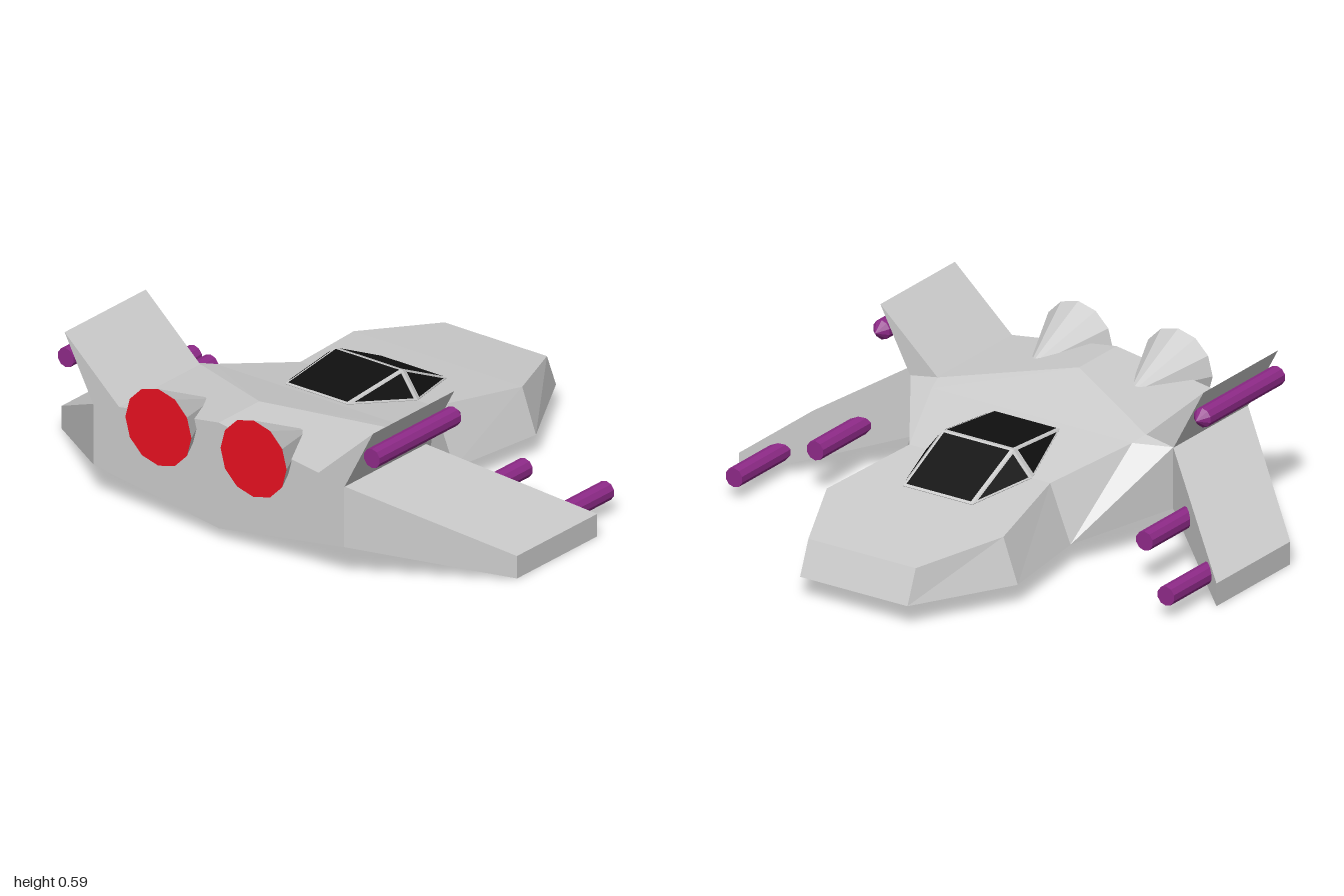
import * as THREE from 'three';
import { ConvexGeometry } from 'three/addons/geometries/ConvexGeometry.js';

const OFFSET = -0.008; // the hull sits slightly off the wing span's centre
const paint = (color, side = THREE.FrontSide) =>
  new THREE.MeshStandardMaterial({ color, side, flatShading: true });
const grey = paint(0xcccccc);
const purple = paint(0x8e2a88);
const red = paint(0xe81020);
const black = paint(0x101010, THREE.DoubleSide);

function add(parent, name, geometry, material) {
  const mesh = new THREE.Mesh(geometry, material);
  mesh.name = name;
  parent.add(mesh);
  return mesh;
}

// Flat-shaded geometry from convex polygons, each a list of [x, y, z] corners
function fromPolygons(polygons) {
  const out = [];
  for (const p of polygons)
    for (let i = 1; i < p.length - 1; i++) out.push(...p[0], ...p[i], ...p[i + 1]);
  const g = new THREE.BufferGeometry();
  g.setAttribute('position', new THREE.Float32BufferAttribute(out, 3));
  g.computeVertexNormals();
  return g;
}

// Hull: one half described by its edge lines, then mirrored
function hullGeometry() {
  const T = [[0.225, 0.205, -0.78], [0.37, 0.245, -0.46], [0.295, 0.29, -0.07],
    [0.42, 0.36, 0.245], [0.435, 0.375, 0.305], [0.435, 0.375, 0.755]]; // deck edge
  const B = [[0.225, 0.08, -0.83], [0.43, 0.08, -0.46], [0.38, 0.08, -0.07],
    [0.55, 0.125, 0.305], [0.55, 0.125, 0.755]]; // lower edge
  const S = [[0.55, 0.355, 0.305], [0.55, 0.355, 0.755]]; // wing shoulder
  const C = [[0, 0.205, -0.78], [0, 0.245, -0.46], [0, 0.29, -0.07],
    [0, 0.36, 0.245], [0, 0.44, 0.53], [0, 0.44, 0.755]]; // top centre line
  const D = [[0, 0.08, -0.83], [0, 0.08, -0.46], [0, 0.08, -0.07],
    [0, 0.04, 0.305], [0, 0.04, 0.755]]; // keel
  const half = [
    [C[3], C[4], T[3]], [C[4], T[4], T[3]], [C[4], C[5], T[5], T[4]],
    [T[4], T[5], S[1], S[0]], [T[3], T[4], S[0]],
    [T[0], T[1], B[1], B[0]], [T[1], T[2], B[2], B[1]],
    [T[2], T[3], S[0], B[3], B[2]], [S[0], S[1], B[4], B[3]],
    [C[0], T[0], B[0], D[0]], [D[4], B[4], S[1], T[5], C[5]],
  ];
  for (let i = 0; i < 3; i++) half.push([C[i], C[i + 1], T[i + 1], T[i]]);
  for (let i = 0; i < 4; i++) half.push([D[i], B[i], B[i + 1], D[i + 1]]);
  const mirrored = half.map(p => p.map(([x, y, z]) => [-x, y, z]).reverse());
  return fromPolygons([...half, ...mirrored]);
}

// Wing: a box whose outer end is swept, lowered and thinned
function wingGeometry(s) {
  const g = new THREE.BoxGeometry(1, 1, 1).toNonIndexed();
  const p = g.attributes.position;
  for (let i = 0; i < p.count; i++) {
    const tip = p.getX(i) * s > 0, top = p.getY(i) > 0, aft = p.getZ(i) > 0;
    if (tip) p.setXYZ(i, s, top ? 0.085 : 0, aft ? 0.375 : -0.07);
    else p.setXYZ(i, s * 0.55 + OFFSET, top ? 0.355 : 0.125, aft ? 0.755 : 0.305);
  }
  g.computeVertexNormals();
  return g;
}

// Fin: triangular section drawn out along z
function finGeometry(s) {
  const shape = new THREE.Shape([[0.435, 0.372], [0.55, 0.35], [0.677, 0.59]]
    .map(([x, y]) => new THREE.Vector2(s * x, y)));
  return new THREE.ExtrudeGeometry(shape, { depth: 0.45, bevelEnabled: false })
    .translate(0, 0, 0.305);
}

// Gun barrel along z
function barrel(parent, name, x, y, z0, z1) {
  const g = new THREE.CylinderGeometry(0.036, 0.036, z1 - z0, 10).rotateX(Math.PI / 2);
  add(parent, name, g, purple).position.set(x, y, (z0 + z1) / 2);
}

// Canopy: grey frame solid with dark panes set just above its faces
function addCanopy(parent) {
  const canopy = new THREE.Group();
  canopy.name = 'canopy';
  parent.add(canopy);
  const V = (x, y, z) => new THREE.Vector3(x, y, z);
  const corner = s => ({
    nose: V(s * 0.145, 0.263, -0.325), peak: V(s * 0.148, 0.382, -0.078),
    tail: V(s * 0.138, 0.355, 0.215), side: V(s * 0.22, 0.292, -0.07),
  });
  const L = corner(1), R = corner(-1);
  const base = [V(0.13, 0.22, -0.3), V(-0.13, 0.22, -0.3), V(0.13, 0.3, 0.19), V(-0.13, 0.3, 0.19)];
  add(canopy, 'canopyFrame',
    new ConvexGeometry([...Object.values(L), ...Object.values(R), ...base]), grey);

  const panes = [[[R.nose, R.peak, L.peak, L.nose], 0.93], [[R.peak, R.tail, L.tail, L.peak], 0.94]];
  for (const c of [L, R])
    panes.push([[c.peak, c.side, c.nose], 0.84], [[c.peak, c.tail, c.side], 0.84]);
  for (const [pts, k] of panes) {
    const mid = pts.reduce((a, p) => a.add(p), V(0, 0, 0)).divideScalar(pts.length);
    const n = pts[1].clone().sub(pts[0]).cross(pts[2].clone().sub(pts[0])).normalize();
    if (n.y < 0) n.negate();
    const inset = pts.map(p => p.clone().sub(mid).multiplyScalar(k).add(mid).addScaledVector(n, 0.003).toArray());
    add(canopy, 'canopyPane', fromPolygons([inset]), black);
  }
}

export function createModel() {
  const model = new THREE.Group();
  model.name = 'spacecraft';
  const body = new THREE.Group();
  body.name = 'body';
  body.position.x = OFFSET;
  model.add(body);

  add(body, 'hull', hullGeometry(), grey);
  addCanopy(body);

  for (const s of [1, -1]) {
    const side = s > 0 ? 'left' : 'right';
    add(model, side + 'Wing', wingGeometry(s), grey);
    add(body, side + 'Fin', finGeometry(s), grey);

    // Engine cone with a glowing disc on its open end
    const cone = new THREE.ConeGeometry(0.145, 0.305, 12, 1, true).rotateX(-Math.PI / 2);
    add(body, side + 'EngineCone', cone, grey).position.set(s * 0.209, 0.388, 0.6735);
    add(body, side + 'EngineGlow', new THREE.CircleGeometry(0.145, 12), red)
      .position.set(s * 0.209, 0.388, 0.826);

    // Wing guns and the pointed fin gun
    barrel(body, side + 'OuterGun', s * 0.905, 0.08, -0.25, 0.1);
    barrel(body, side + 'InnerGun', s * 0.69, 0.17, -0.07, 0.3);
    barrel(body, side + 'FinGun', s * 0.672, 0.495, 0.305, 0.755);
    const point = new THREE.ConeGeometry(0.036, 0.04, 10).rotateX(-Math.PI / 2);
    add(body, side + 'FinGunTip', point, purple).position.set(s * 0.672, 0.495, 0.285);
  }
  return model;
}
